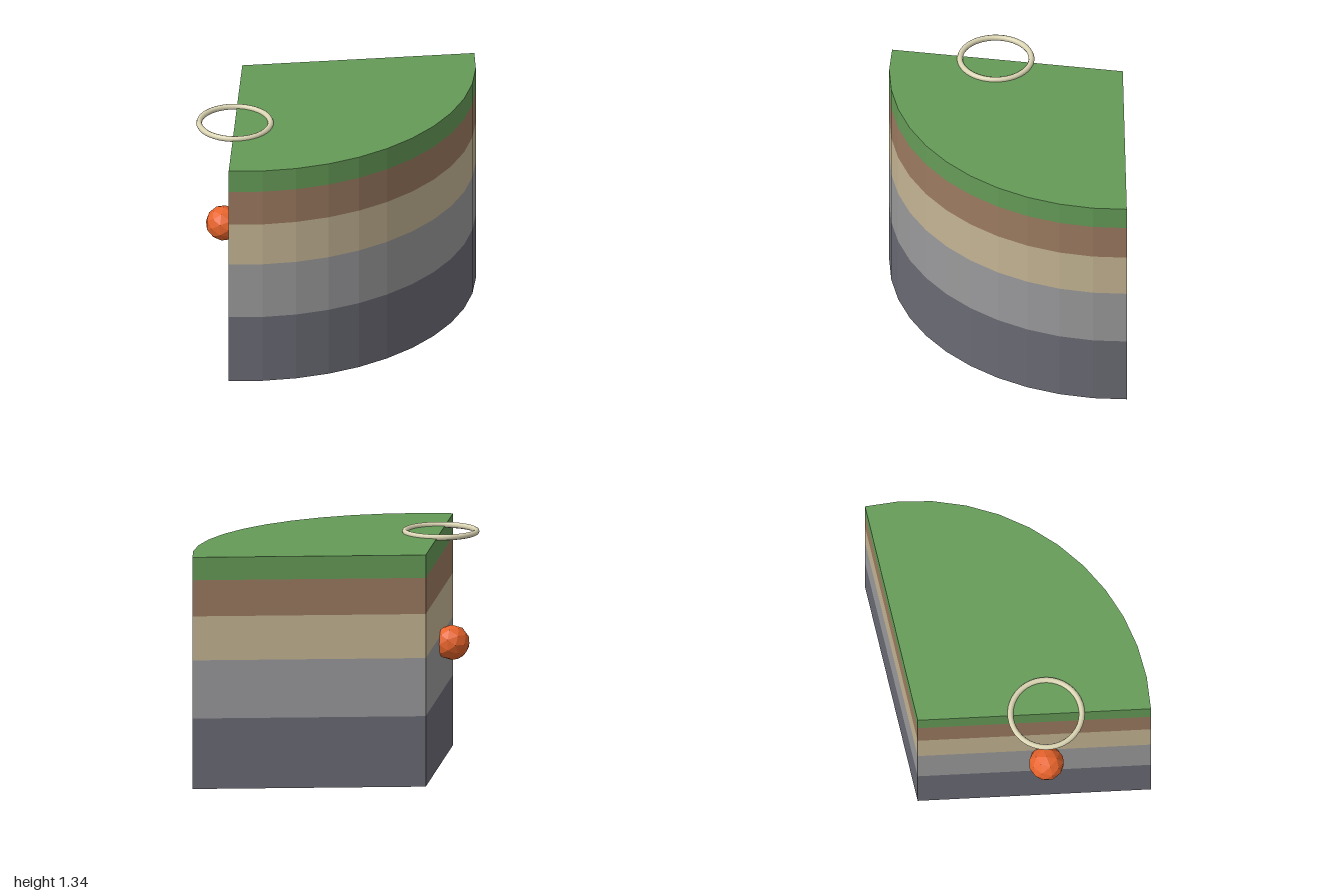
import * as THREE from 'three';

const RADIUS = 1.305;
const HALF_ANGLE = THREE.MathUtils.degToRad(50);
const APEX_X = -RADIUS / 2;
const ARC_STEPS = 12;

const material = (color, flatShading) =>
  new THREE.MeshStandardMaterial({ color, flatShading });

// Pie-slice outline, apex at the left, arc at the right
function wedgeShape() {
  const points = [new THREE.Vector2(APEX_X, 0)];
  for (let i = 0; i <= ARC_STEPS; i++) {
    const a = -HALF_ANGLE + (2 * HALF_ANGLE * i) / ARC_STEPS;
    points.push(new THREE.Vector2(APEX_X + RADIUS * Math.cos(a), RADIUS * Math.sin(a)));
  }
  return new THREE.Shape(points);
}

export function createModel() {
  const model = new THREE.Group();
  model.name = 'groundSection';
  const add = (name, geometry, mat, x, y, z) => {
    const mesh = new THREE.Mesh(geometry, mat);
    mesh.name = name;
    mesh.position.set(x, y, z);
    model.add(mesh);
    return mesh;
  };

  // Stacked strata, bottom to top: name, base height, top height, colour
  const strata = [
    ['bedrock', 0, 0.4, 0x6a6a74],
    ['stoneLayer', 0.4, 0.73, 0x9a9a9c],
    ['sandLayer', 0.73, 0.98, 0xc4b493],
    ['soilLayer', 0.98, 1.185, 0x9b7a60],
    ['grassLayer', 1.185, 1.315, 0x659b57],
  ];
  const outline = wedgeShape();
  for (const [name, base, top, color] of strata) {
    const layer = new THREE.ExtrudeGeometry(outline, { depth: top - base, bevelEnabled: false });
    layer.rotateX(-Math.PI / 2);
    add(name, layer, material(color, true), 0, base, 0);
  }

  // Faceted ball half set into the front cut
  add('buriedBall', new THREE.IcosahedronGeometry(0.1, 1), material(0xe8642c, true), -0.24, 0.69, 0.59);

  // Ring lying on the grass, centred over the cut edge
  const ring = new THREE.TorusGeometry(0.2, 0.0165, 8, 40);
  ring.rotateX(Math.PI / 2);
  add('surfaceRing', ring, material(0xdcd6b4, false), -0.19, 1.32, 0.55);

  return model;
}
